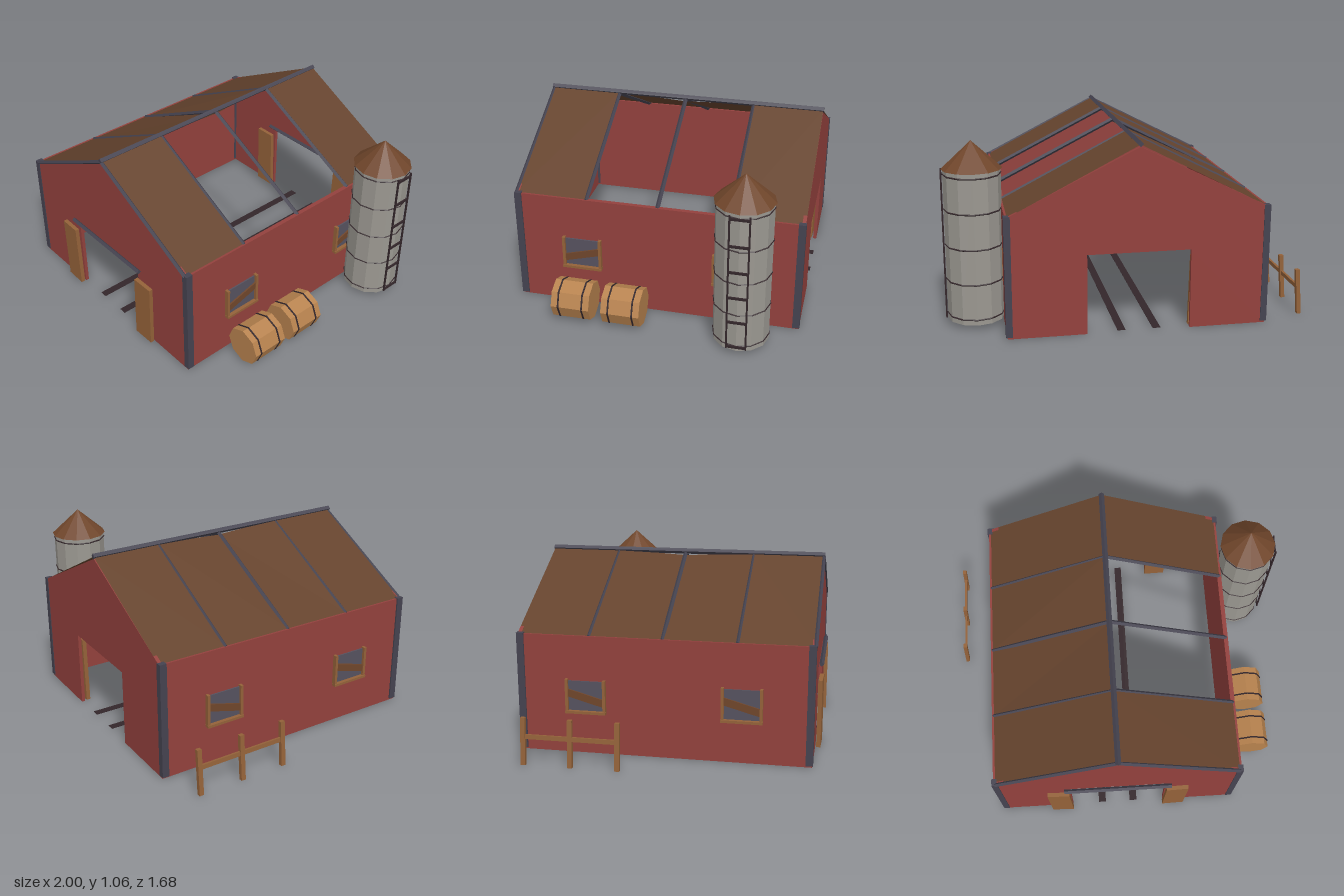
import * as THREE from 'three';

const mat = (name, color, side = THREE.FrontSide) => {
  const m = new THREE.MeshStandardMaterial({ color, side, flatShading: true });
  m.name = name;
  return m;
};

export function createModel() {
  const red = mat('barn red', 0x93413d);
  const roofBrown = mat('roof brown', 0x65432d, THREE.DoubleSide);
  const darkWood = mat('dark wood', 0x70462b);
  const slate = mat('slate trim', 0x454350);
  const wood = mat('plank wood', 0x946239);
  const hay = mat('barrel wood', 0xb7824e);
  const iron = mat('dark iron', 0x33262a);
  const metal = mat('silo metal', 0x9b9891);
  const glass = mat('window glass', 0x56525f);

  const model = new THREE.Group();
  model.name = 'barnyard';
  const add = (name, geo, m, x = 0, y = 0, z = 0, parent = model) => {
    const mesh = new THREE.Mesh(geo, m);
    mesh.name = name;
    mesh.position.set(x, y, z);
    parent.add(mesh);
    return mesh;
  };
  const box = (name, m, w, h, d, x, y, z, parent) =>
    add(name, new THREE.BoxGeometry(w, h, d), m, x, y, z, parent);
  // Square bar between two points, rolled onto its edge
  const beam = (name, m, a, b, t) => {
    const A = new THREE.Vector3(...a), B = new THREE.Vector3(...b);
    const mesh = box(name, m, t, t, A.distanceTo(B), 0, 0, 0);
    mesh.position.copy(A).lerp(B, 0.5);
    mesh.lookAt(B);
    mesh.rotateZ(Math.PI / 4);
  };

  const CX = -0.037, HALF = 0.716, FRONT = 0.805, BACK = -0.835;
  const EAVE = 0.67, RIDGE = 1.03, MID = (FRONT + BACK) / 2;

  // Gable walls with a doorway, each with sliding doors and a rail on its front side
  const outline = new THREE.Shape([
    [-HALF, 0], [-0.285, 0], [-0.285, 0.45], [0.285, 0.45], [0.285, 0],
    [HALF, 0], [HALF, EAVE], [0, RIDGE - 0.005], [-HALF, EAVE],
  ].map(p => new THREE.Vector2(...p)));
  for (const [side, z] of [['front', FRONT], ['back', BACK + 0.02]]) {
    const end = new THREE.Group();
    end.name = side + 'End';
    end.position.set(CX, 0, z);
    model.add(end);
    add('gableWall', new THREE.ExtrudeGeometry(outline, { depth: 0.02, bevelEnabled: false }),
      red, 0, 0, -0.02, end);
    for (const s of [-1, 1]) {
      const door = box('slidingDoor', wood, 0.132, 0.4, 0.024, s * 0.353, 0.204, 0.02, end);
      door.rotation.set(0, s * 0.03, -s * 0.025);
    }
    beam('doorRail', slate, [CX - 0.32, 0.467, z + 0.018], [CX + 0.32, 0.467, z + 0.018], 0.019);
  }

  // Side walls and corner posts
  for (const s of [-1, 1]) {
    box('sideWall', red, 0.025, EAVE + 0.005, FRONT - BACK, CX + s * (HALF - 0.0125), (EAVE + 0.005) / 2, MID);
    for (const z of [FRONT - 0.016, BACK + 0.016])
      box('cornerPost', slate, 0.036, 0.67, 0.04, CX + s * (HALF - 0.009), 0.345, z);
  }

  // Roof sheets, sagging a little at the middle bay
  const sheet = (s, zs) => {
    const geo = new THREE.PlaneGeometry(1, 1, 1, zs.length - 1);
    const p = geo.attributes.position;
    for (let i = 0; i < p.count; i++) {
      const z = zs[Math.floor(i / 2)], out = i % 2;
      const sag = 0.022 * Math.max(0, 1 - Math.abs(z + 0.02) / 0.41);
      p.setXYZ(i, CX + s * out * (HALF - 0.012), out ? EAVE + 0.005 : RIDGE + 0.007 - sag, z);
    }
    geo.computeVertexNormals();
    return geo;
  };
  add('leftRoof', sheet(-1, [FRONT, 0.39, -0.02, -0.43, BACK]), roofBrown);
  add('rightRoofFront', sheet(1, [FRONT, 0.39]), roofBrown);
  add('rightRoofBack', sheet(1, [-0.43, BACK]), roofBrown);

  // Ridge beam and rafters
  beam('ridgeBeam', slate, [CX, 1.04, BACK - 0.004], [CX, 1.04, FRONT + 0.006], 0.023);
  for (const s of [-1, 1])
    for (const z of [FRONT - 0.004, 0.39, -0.02, -0.43])
      beam('rafter', slate, [CX, RIDGE, z], [CX + s * (HALF - 0.01), EAVE, z], 0.018);

  // Ground rails through the barn
  for (const s of [-1, 1])
    box('groundRail', iron, 0.044, 0.002, FRONT - BACK, CX + s * 0.098, 0.01, MID);

  // Boarded windows on both sides
  for (const s of [-1, 1])
    for (const z of [0.42, -0.45]) {
      const win = new THREE.Group();
      win.name = 'window';
      win.position.set(CX + s * (HALF + 0.002), 0.335, z);
      model.add(win);
      box('pane', glass, 0.008, 0.17, 0.21, s * 0.003, 0, 0, win);
      box('sill', wood, 0.036, 0.015, 0.23, s * 0.01, -0.092, 0, win);
      for (const k of [-1, 1])
        box('jamb', wood, 0.03, 0.19, 0.016, s * 0.008, 0, k * 0.106, win);
      const board = box('crossBoard', darkWood, 0.01, 0.042, 0.215, s * 0.011, -0.01, 0, win);
      board.rotation.x = 0.27;
    }

  // Silo with hoops and ladder
  const silo = new THREE.Group();
  silo.name = 'silo';
  silo.position.set(0.83, 0, -0.53);
  model.add(silo);
  add('siloBody', new THREE.CylinderGeometry(0.157, 0.157, 0.85, 12), metal, 0, 0.455, 0, silo);
  add('siloCap', new THREE.ConeGeometry(0.166, 0.152, 12), darkWood, 0, 0.954, 0, silo);
  for (const y of [0.06, 0.26, 0.457, 0.655, 0.85])
    add('siloHoop', new THREE.TorusGeometry(0.157, 0.0045, 4, 12).rotateX(Math.PI / 2), iron, 0, y, 0, silo);
  for (const z of [-0.053, 0.053])
    box('ladderRail', iron, 0.009, 0.82, 0.009, 0.165, 0.46, z, silo);
  for (const y of [0.06, 0.22, 0.375, 0.533, 0.69, 0.85])
    box('ladderRung', iron, 0.009, 0.013, 0.106, 0.165, y, 0, silo);

  // Eight-sided barrels lying on their sides
  for (const z of [0.425, 0.135]) {
    const barrel = new THREE.Group();
    barrel.name = 'barrel';
    barrel.position.set(0.83, 0.12, z);
    model.add(barrel);
    const drum = (name, m, r, len, dz) =>
      add(name, new THREE.CylinderGeometry(r, r, len, 8).rotateX(Math.PI / 2), m, 0, 0, dz, barrel);
    drum('barrelBody', hay, 0.112, 0.22, 0);
    for (const k of [-1, 1]) drum('barrelHoop', iron, 0.115, 0.009, k * 0.069);
  }

  // Leaning fence
  const fence = new THREE.Group();
  fence.name = 'fence';
  fence.position.set(-0.988, 0, -0.48);
  fence.rotation.z = -0.075;
  model.add(fence);
  for (const z of [-0.262, 0, 0.262])
    box('fencePost', wood, 0.023, 0.265, 0.026, 0, 0.134, z, fence);
  box('fenceRail', wood, 0.013, 0.025, 0.53, 0, 0.16, 0, fence);

  return model;
}
